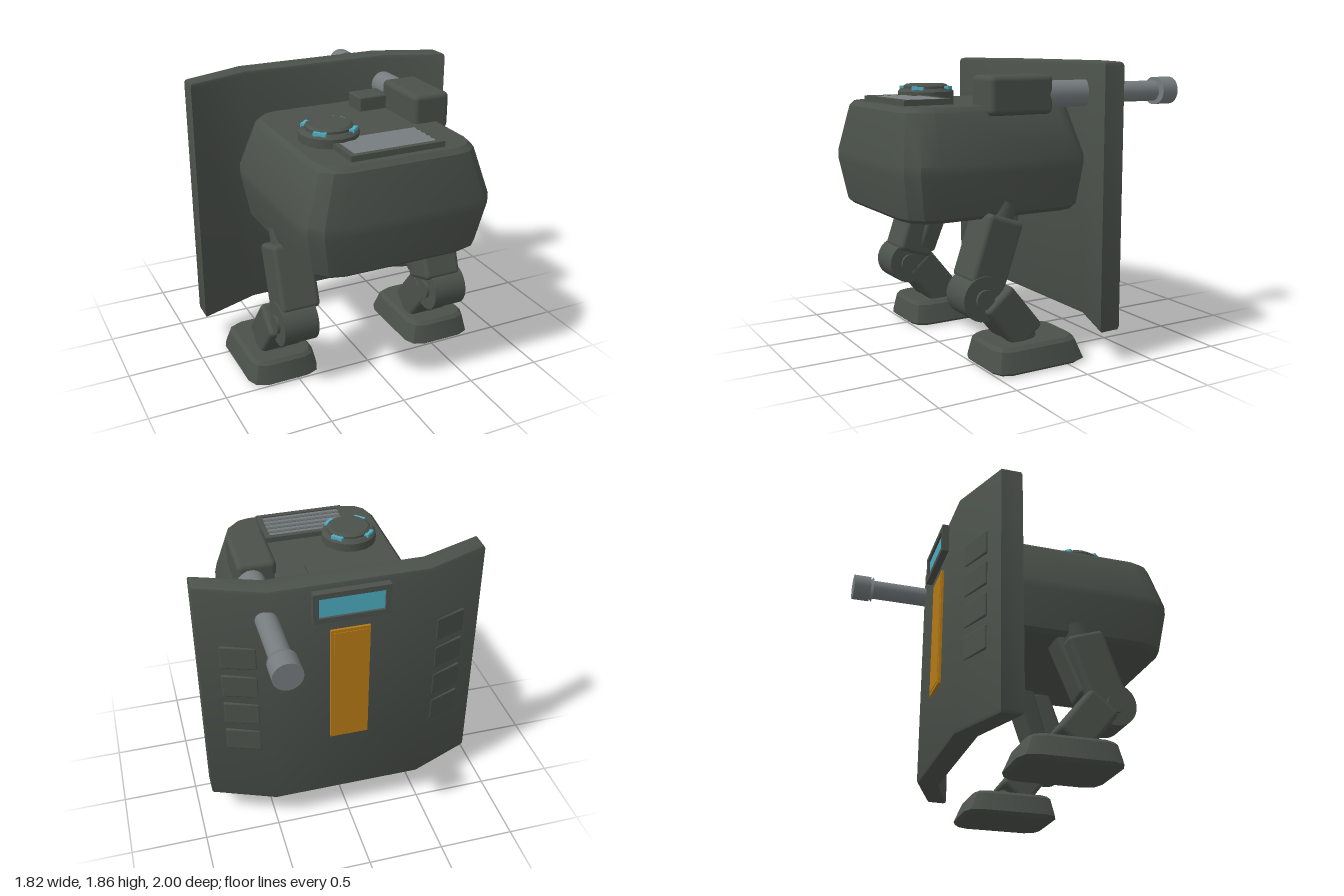
import * as THREE from 'three';
import { toCreasedNormals } from 'three/addons/utils/BufferGeometryUtils.js';
import { RoundedBoxGeometry } from 'three/addons/geometries/RoundedBoxGeometry.js';

const mat = (name, color) => {
  const m = new THREE.MeshStandardMaterial({ color });
  m.name = name;
  return m;
};

// Closed loft through rounded rectangles; level = [y, halfWidth, zFront, zBack, cornerRadius]
function loft(levels, seg = 3) {
  const rings = levels.map(([y, hx, zf, zb, r]) => {
    const ring = [];
    const corners = [[hx - r, zf - r], [-hx + r, zf - r], [-hx + r, zb + r], [hx - r, zb + r]];
    corners.forEach(([cx, cz], c) => {
      for (let i = 0; i <= seg; i++) {
        const a = (c + i / seg) * Math.PI / 2;
        ring.push([cx + r * Math.cos(a), y, cz + r * Math.sin(a)]);
      }
    });
    return ring;
  });
  const n = rings[0].length, pos = [];
  const tri = (...pts) => pts.forEach(p => pos.push(...p));
  for (let k = 0; k < rings.length - 1; k++) {
    for (let i = 0; i < n; i++) {
      const j = (i + 1) % n, a = rings[k], b = rings[k + 1];
      tri(a[i], b[i], b[j]);
      tri(a[i], b[j], a[j]);
    }
  }
  const bottom = rings[0], top = rings[rings.length - 1];
  for (let i = 1; i < n - 1; i++) {
    tri(bottom[0], bottom[i], bottom[i + 1]);
    tri(top[0], top[i + 1], top[i]);
  }
  const g = new THREE.BufferGeometry();
  g.setAttribute('position', new THREE.Float32BufferAttribute(pos, 3));
  return toCreasedNormals(g, 0.5);
}

// Rectangular rim, extruded along +z
function rim(w, h, t, depth) {
  const rect = (S, a, b) => new S([[-a, -b], [a, -b], [a, b], [-a, b]].map(p => new THREE.Vector2(...p)));
  const s = rect(THREE.Shape, w / 2, h / 2);
  s.holes.push(rect(THREE.Path, w / 2 - t, h / 2 - t));
  return new THREE.ExtrudeGeometry(s, { depth, bevelEnabled: false });
}

export function createModel() {
  const model = new THREE.Group();
  const armor = mat('armor green grey', 0x4b514b);
  const steel = mat('steel grey', 0x767c7e);
  const cyan = mat('cyan light', 0x4cabc0);
  const amber = mat('amber panel', 0xb67a16);

  const add = (name, geo, material, p = [0, 0, 0], r = [0, 0, 0], parent = model) => {
    const m = new THREE.Mesh(geo, material);
    m.name = name;
    m.position.set(...p);
    m.rotation.set(...r);
    parent.add(m);
    return m;
  };
  const box = (w, h, d) => new THREE.BoxGeometry(w, h, d);
  const rbox = (w, h, d, r) => new RoundedBoxGeometry(w, h, d, 2, r);
  const cyl = (r1, r2, h, n = 24) => new THREE.CylinderGeometry(r1, r2, h, n);

  // Hull
  add('hull', loft([
    [0.925, 0.55, 0.92, -0.27, 0.18],
    [0.95, 0.575, 0.95, -0.29, 0.19],
    [1.21, 0.625, 0.995, -0.315, 0.2],
    [1.27, 0.625, 0.995, -0.315, 0.2],
    [1.57, 0.525, 0.935, -0.23, 0.17],
    [1.60, 0.495, 0.905, -0.2, 0.15],
  ]), armor);

  // Rear shield, a bent slab standing upright
  const plan = [[-0.91, -0.16], [-0.5, -0.31], [0.5, -0.31], [0.91, -0.16], [0.91, -0.3], [0.5, -0.465], [-0.5, -0.465], [-0.91, -0.3]];
  const shield = new THREE.ExtrudeGeometry(
    new THREE.Shape(plan.map(([x, z]) => new THREE.Vector2(x, -z))),
    { depth: 1.61, bevelThickness: 0.025, bevelSize: 0.025, bevelOffset: -0.025, bevelSegments: 2 });
  shield.rotateX(-Math.PI / 2);
  add('shield', toCreasedNormals(shield, 0.6), armor, [0, 0.225, 0]);

  // Shield back: raised side panels, amber strip, viewing window
  for (const s of [-1, 1]) {
    for (let i = 0; i < 4; i++) {
      add('shieldPanel', rbox(0.23, 0.165, 0.04, 0.012), armor,
        [s * 0.675, 1.375 - i * 0.217, -0.382], [0, -s * 0.345, 0]);
    }
  }
  add('amberStrip', box(0.25, 0.84, 0.03), amber, [0, 1.11, -0.467]);
  add('amberInset', box(0.21, 0.8, 0.006), amber, [0, 1.11, -0.483]);
  add('windowFrame', rim(0.48, 0.205, 0.035, 0.06), armor, [0, 1.718, -0.512]);
  add('window', box(0.41, 0.135, 0.008), cyan, [0, 1.718, -0.492]);
  add('windowBacking', box(0.42, 0.14, 0.04), armor, [0, 1.718, -0.468]);

  // Gun through the shield
  const gunX = 0.505, gunY = 1.657, along = [Math.PI / 2, 0, 0];
  add('gunHousing', rbox(0.25, 0.24, 0.445, 0.035), armor, [0.465, 1.66, 0.207]);
  add('gunSleeve', cyl(0.084, 0.084, 0.36), steel, [gunX, gunY, -0.17], along);
  add('barrel', cyl(0.067, 0.067, 0.6), steel, [gunX, gunY, -0.6], along);
  add('muzzleCone', cyl(0.067, 0.09, 0.02), steel, [gunX, gunY, -0.87], [-Math.PI / 2, 0, 0]);
  add('muzzle', cyl(0.09, 0.09, 0.12), steel, [gunX, gunY, -0.94], along);

  // Small sensor box with two lamps facing back
  add('sensorBox', rbox(0.21, 0.11, 0.17, 0.012), armor, [0.255, 1.637, -0.037]);
  for (const x of [0.203, 0.307]) {
    add('sensorLamp', box(0.055, 0.045, 0.03), cyan, [x, 1.65, -0.125]);
  }

  // Roof hatch with four lamps
  const hatch = new THREE.Group();
  hatch.name = 'hatch';
  hatch.position.set(-0.255, 1.6, 0.445);
  model.add(hatch);
  const lathe = toCreasedNormals(new THREE.LatheGeometry(
    [[0.185, -0.02], [0.185, 0.055], [0.165, 0.075], [0.148, 0.075], [0.148, 0.09], [0.13, 0.103], [0, 0.103]]
      .map(p => new THREE.Vector2(...p)), 16), 0.45);
  add('hatchDisc', lathe, armor, [0, 0, 0], [0, 0, 0], hatch);
  for (let i = 0; i < 4; i++) {
    const a = Math.PI / 4 + i * Math.PI / 2;
    add('hatchLamp', box(0.08, 0.022, 0.034), cyan,
      [Math.sin(a) * 0.152, 0.078, Math.cos(a) * 0.152], [0, a, 0], hatch);
  }

  // Roof vent with tilted slats
  add('ventBase', box(0.56, 0.03, 0.29), armor, [-0.005, 1.598, 0.693]);
  add('ventRim', rim(0.61, 0.33, 0.035, 0.05), armor, [-0.005, 1.585, 0.693], [-Math.PI / 2, 0, 0]);
  for (let i = 0; i < 5; i++) {
    add('ventSlat', box(0.54, 0.012, 0.042), steel, [-0.005, 1.625, 0.583 + i * 0.055], [0.2, 0, 0]);
  }

  // Legs
  const foot = loft([
    [0, 0.215, 0.485, -0.125, 0.09],
    [0.02, 0.24, 0.51, -0.148, 0.1],
    [0.05, 0.235, 0.505, -0.135, 0.1],
    [0.145, 0.212, 0.485, -0.095, 0.09],
    [0.168, 0.19, 0.465, -0.07, 0.08],
  ], 2);
  for (const s of [-1, 1]) {
    const leg = new THREE.Group();
    leg.name = s > 0 ? 'leftLeg' : 'rightLeg';
    model.add(leg);
    const part = (name, geo, p, r = [0, 0, 0]) =>
      add(name, geo, armor, [s * p[0], p[1], p[2]], [r[0], r[1], s * r[2]], leg);
    part('hip', cyl(0.09, 0.09, 0.2, 16), [0.51, 0.92, 0.33], [-0.35, 0, 0]);
    part('thigh', rbox(0.26, 0.43, 0.25, 0.03), [0.51, 0.725, 0.41], [-0.33, 0, 0]);
    part('thighInner', rbox(0.2, 0.46, 0.14, 0.03), [0.455, 0.76, 0.32], [-0.33, 0, 0.11]);
    part('knee', cyl(0.14, 0.14, 0.23, 28), [0.535, 0.455, 0.512], [0, 0, Math.PI / 2]);
    part('kneePin', cyl(0.06, 0.06, 0.27, 16), [0.535, 0.455, 0.512], [0, 0, Math.PI / 2]);
    part('shin', rbox(0.28, 0.36, 0.23, 0.03), [0.555, 0.315, 0.32], [0.68, 0, 0]);
    part('ankle', cyl(0.11, 0.13, 0.1, 16), [0.57, 0.17, 0.24]);
    part('foot', foot, [0.577, 0, 0]);
  }
  return model;
}
